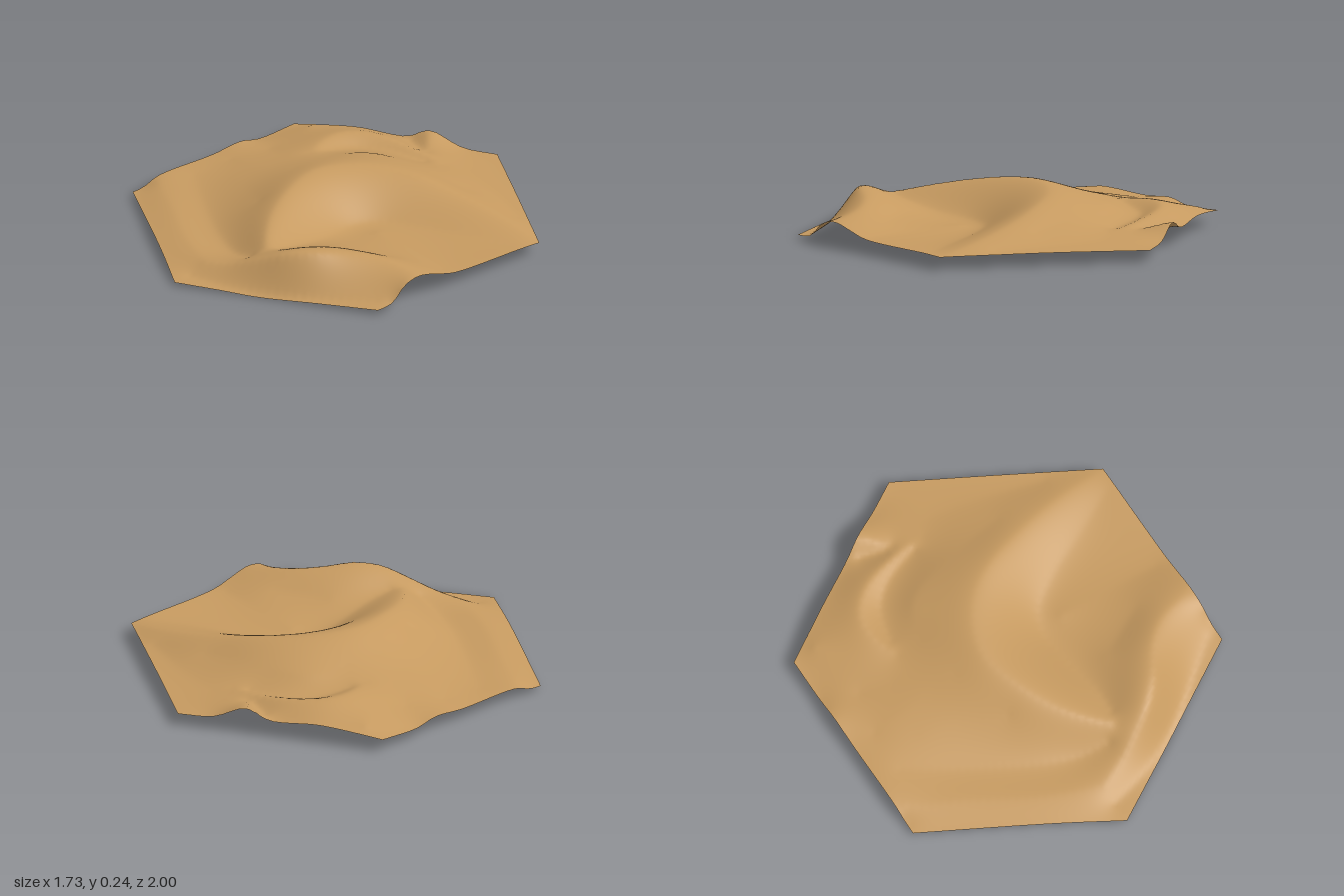
import * as THREE from 'three';

// Each line is a list of [x, z, height] points.
const crests = [
  // main dune
  [[0.86, -0.5, 0.06], [0.6, -0.485, 0.105], [0.33, -0.43, 0.155], [0.15, -0.37, 0.195], [0, -0.28, 0.22],
    [-0.1, -0.15, 0.233], [-0.15, 0, 0.235], [-0.1, 0.2, 0.217], [0, 0.4, 0.18], [0.1, 0.52, 0.15], [0.2, 0.61, 0.125]],
  // front right dune
  [[0.866, 0.24, 0.12], [0.65, 0.3, 0.155], [0.54, 0.4, 0.175], [0.46, 0.54, 0.185], [0.37, 0.63, 0.17],
    [0.25, 0.7, 0.125], [0.12, 0.76, 0.08], [0, 0.81, 0.06]],
  // back left dune
  [[-0.02, -0.68, 0.092], [-0.2, -0.665, 0.115], [-0.4, -0.6, 0.14], [-0.5, -0.5, 0.15], [-0.51, -0.4, 0.148], [-0.46, -0.24, 0.135]],
  // small back dune
  [[-0.29, -0.832, 0.13], [-0.24, -0.78, 0.115], [-0.17, -0.72, 0.092]],
  // low front left ridge
  [[0, 0.81, 0.06], [-0.3, 0.68, 0.058], [-0.6, 0.5, 0.055], [-0.76, 0.42, 0.052], [-0.866, 0.35, 0.055]],
];
const edges = [
  [[0, 1, 0.015], [0.2, 0.885, 0.008], [0.35, 0.798, 0], [0.6, 0.654, 0.012], [0.866, 0.5, 0.022]],
  [[0.866, 0.5, 0.022], [0.866, 0.41, 0.03], [0.866, 0.33, 0.1], [0.866, 0.24, 0.12], [0.866, 0.13, 0.095],
    [0.866, 0.03, 0.07], [0.866, -0.4, 0.064], [0.866, -0.5, 0.06]],
  [[0.866, -0.5, 0.06], [0.43, -0.752, 0.062], [0, -1, 0.055]],
  [[0, -1, 0.055], [-0.15, -0.913, 0.065], [-0.29, -0.832, 0.13], [-0.385, -0.778, 0.082], [-0.6, -0.654, 0.092], [-0.866, -0.5, 0.062]],
  [[-0.866, -0.5, 0.062], [-0.866, -0.28, 0.052], [-0.866, -0.17, 0.075], [-0.866, 0, 0.06], [-0.866, 0.35, 0.055],
    [-0.866, 0.43, 0.025], [-0.866, 0.5, 0.02]],
  [[-0.866, 0.5, 0.02], [-0.3, 0.827, 0.034], [0, 1, 0.015]],
];
const feet = [
  // basin inside the main dune
  [[0.84, -0.41, 0.064], [0.6, -0.29, 0.065], [0.4, -0.2, 0.066], [0.22, -0.08, 0.068], [0.17, 0.05, 0.07],
    [0.2, 0.25, 0.083], [0.225, 0.42, 0.105], [0.22, 0.54, 0.12]],
  [[0.3, 0, 0.068], [0.55, 0.02, 0.068], [0.8, 0.04, 0.07]],
  // steep faces of the other dunes
  [[0.8, 0.46, 0.03], [0.7, 0.54, 0.022], [0.45, 0.71, 0.014], [0.2, 0.84, 0.014], [0, 0.9, 0.018]],
  [[-0.1, -0.64, 0.092], [-0.28, -0.58, 0.104], [-0.39, -0.49, 0.108], [-0.43, -0.38, 0.118], [-0.45, -0.28, 0.132]],
  [[-0.36, -0.765, 0.08], [-0.27, -0.735, 0.085], [-0.18, -0.7, 0.092]],
  // front and back feet of the main dune
  [[-0.75, 0.22, 0.06], [-0.5, 0.38, 0.054], [-0.2, 0.55, 0.054], [0, 0.63, 0.058], [0.13, 0.65, 0.083]],
  [[0.05, -0.74, 0.078], [0.3, -0.69, 0.074], [0.6, -0.6, 0.068]],
];
const slopes = [
  [[-0.75, 0, 0.073], [-0.45, 0, 0.14], [-0.3, 0, 0.187]],
  [[-0.6, 0.12, 0.09], [-0.4, 0.2, 0.118], [-0.2, 0.3, 0.15]],
  [[-0.35, -0.2, 0.165], [-0.25, -0.42, 0.155], [0, -0.5, 0.152], [0.3, -0.55, 0.115]],
  [[-0.75, -0.5, 0.092], [-0.65, -0.4, 0.115]],
  [[-0.7, -0.2, 0.085], [-0.55, -0.15, 0.118]],
  [[0.35, 0.3, 0.11], [0.6, 0.17, 0.103]],
];

// Sample every line evenly, skipping points that nearly coincide
function samplePoints() {
  const pts = [];
  for (const line of [...edges, ...crests, ...feet, ...slopes]) {
    const curve = new THREE.CatmullRomCurve3(line.map(([x, z, h]) => new THREE.Vector3(x, h, z)));
    for (const p of curve.getSpacedPoints(Math.ceil(curve.getLength() / 0.045))) {
      if (pts.every((o) => Math.hypot(o.x - p.x, o.z - p.z) > 0.025)) pts.push(p);
    }
  }
  return pts;
}

const kernel = (dx, dz) => Math.pow(dx * dx + dz * dz, 0.4);

// Gaussian elimination on an augmented matrix
function solve(m) {
  const n = m.length;
  for (let c = 0; c < n; c++) {
    let p = c;
    for (let r = c + 1; r < n; r++) if (Math.abs(m[r][c]) > Math.abs(m[p][c])) p = r;
    [m[c], m[p]] = [m[p], m[c]];
    for (let r = c + 1; r < n; r++) {
      const f = m[r][c] / m[c][c];
      for (let k = c; k <= n; k++) m[r][k] -= f * m[c][k];
    }
  }
  const x = new Array(n).fill(0);
  for (let r = n - 1; r >= 0; r--) {
    let s = m[r][n];
    for (let k = r + 1; k < n; k++) s -= m[r][k] * x[k];
    x[r] = s / m[r][r];
  }
  return x;
}

// Smooth height function passing through all the lines
function makeHeight() {
  const pts = samplePoints();
  const rows = pts.map((p) => [...pts.map((o) => kernel(p.x - o.x, p.z - o.z)), 1, p.y]);
  rows.push([...pts.map(() => 1), 0, 0]);
  const w = solve(rows);
  return (x, z) => pts.reduce((s, p, i) => s + w[i] * kernel(x - p.x, z - p.z), w[pts.length]);
}

export function createModel() {
  const group = new THREE.Group();
  group.name = 'duneTile';
  const sand = new THREE.MeshStandardMaterial({ color: 0xc69a60, side: THREE.DoubleSide });
  sand.name = 'sand';

  // Hexagonal lattice of triangles
  const N = 60;
  const height = makeHeight();
  const positions = [], indices = [], ids = new Map();
  const id = (q, r) => ids.get(q + ',' + r);
  for (let q = -N; q <= N; q++) {
    for (let r = -N; r <= N; r++) {
      if (Math.abs(q + r) > N) continue;
      const x = (q / N) * Math.sqrt(0.75), z = (r + q / 2) / N;
      ids.set(q + ',' + r, positions.length / 3);
      positions.push(x, height(x, z), z);
    }
  }
  const addFace = (...f) => { if (f.every((i) => i !== undefined)) indices.push(...f); };
  for (let q = -N - 1; q <= N; q++) {
    for (let r = -N - 1; r <= N; r++) {
      addFace(id(q, r), id(q, r + 1), id(q + 1, r));
      addFace(id(q + 1, r), id(q, r + 1), id(q + 1, r + 1));
    }
  }

  const geometry = new THREE.BufferGeometry();
  geometry.setAttribute('position', new THREE.Float32BufferAttribute(positions, 3));
  geometry.setIndex(indices);
  geometry.computeBoundingBox();
  geometry.translate(0, -geometry.boundingBox.min.y, 0);
  geometry.computeVertexNormals();

  const dunes = new THREE.Mesh(geometry, sand);
  dunes.name = 'sandDunes';
  group.add(dunes);
  return group;
}
